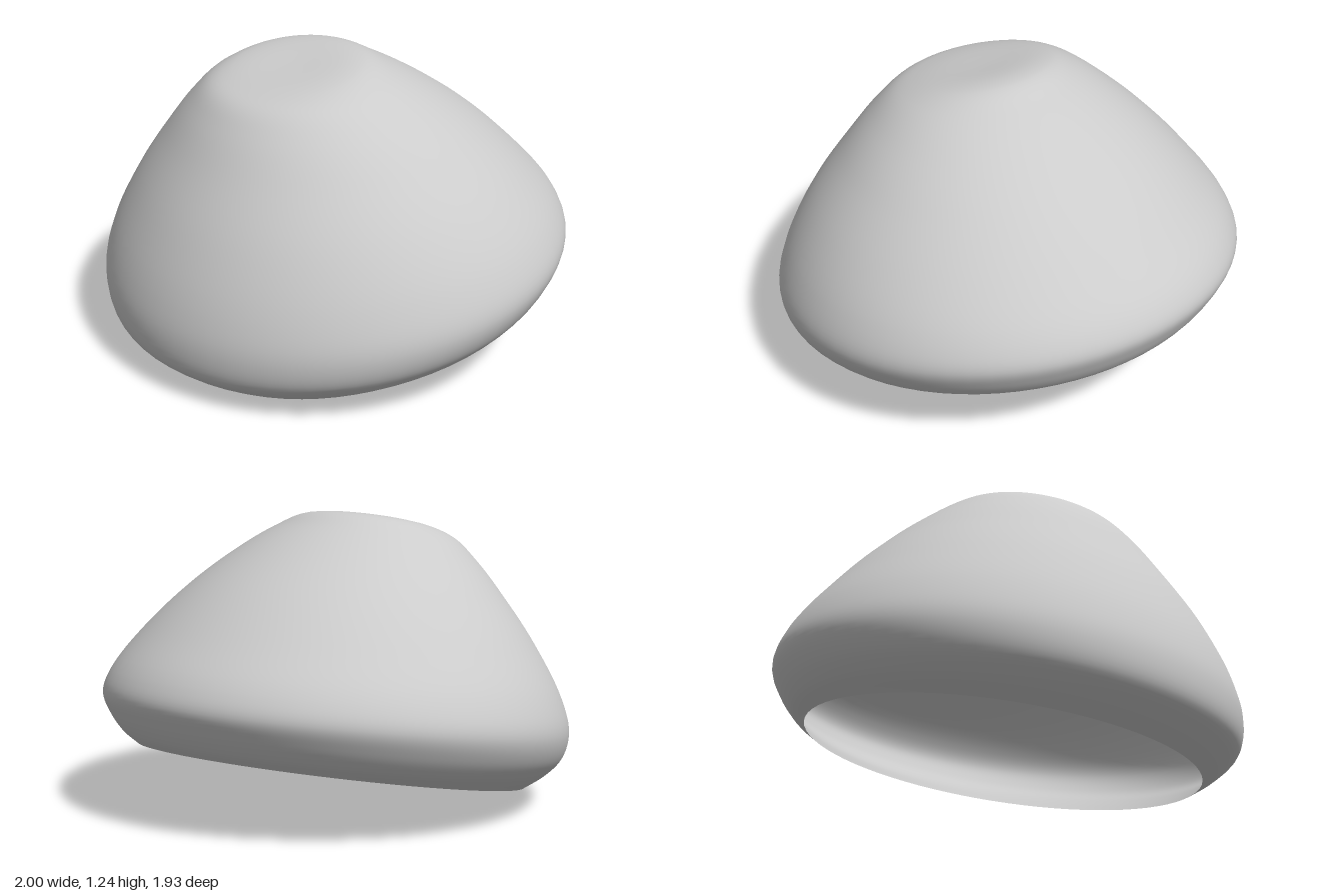
import * as THREE from 'three';

const SIDES = 72;
const STEPS = 6;
const WALL = 0.03;

// Each ring: front z, front y, back z, back y, half width in x, x centre (rim to crown)
const OUTER = [
  [0.79, 0.0, -0.845, 0.315, 0.82, 0],
  [0.88, 0.06, -0.89, 0.36, 0.9, 0],
  [0.95, 0.13, -0.938, 0.44, 0.965, 0],
  [0.965, 0.25, -0.963, 0.52, 0.998, 0],
  [0.93, 0.41, -0.925, 0.61, 0.965, 0],
  [0.83, 0.64, -0.79, 0.755, 0.85, 0],
  [0.7, 0.86, -0.59, 0.935, 0.68, -0.01],
  [0.6, 1.01, -0.38, 1.08, 0.525, -0.02],
  [0.52, 1.095, -0.2, 1.18, 0.4, -0.03],
  [0.42, 1.135, -0.07, 1.235, 0.28, -0.04],
  [0.2, 1.185, 0.2, 1.185, 0, -0.04],
];

// Inner rings share the rim and follow the outer ones at a thin wall's distance
const INNER = OUTER.map(([zf, yf, zb, yb, rx, xc], i) => {
  const inset = i === 0 ? 0 : Math.min(WALL, rx);
  const drop = (WALL * i) / (OUTER.length - 1);
  return [zf - inset, yf - drop, zb + inset, yb - drop, rx - inset, xc];
});

// Smoothly blend the key rings and skin them with quads
function skinRings(rings, flip) {
  const curve = (a, b, c) =>
    new THREE.CatmullRomCurve3(rings.map((r) => new THREE.Vector3(r[a], r[b], r[c])));
  const frontCurve = curve(0, 1, 4);
  const backCurve = curve(2, 3, 5);
  const rows = (rings.length - 1) * STEPS;
  const positions = [];
  const index = [];
  for (let i = 0; i <= rows; i++) {
    const f = frontCurve.getPoint(i / rows); // front z, front y, half width
    const b = backCurve.getPoint(i / rows); // back z, back y, x centre
    for (let j = 0; j < SIDES; j++) {
      const angle = (j / SIDES) * Math.PI * 2;
      const t = (1 + Math.cos(angle)) / 2;
      positions.push(b.z + f.z * Math.sin(angle), b.y + (f.y - b.y) * t, b.x + (f.x - b.x) * t);
      if (i === rows) continue;
      const k = (j + 1) % SIDES;
      const [p, q, r, s] = [i * SIDES + j, i * SIDES + k, (i + 1) * SIDES + k, (i + 1) * SIDES + j];
      if (flip) index.push(p, r, q, p, s, r);
      else index.push(p, q, r, p, r, s);
    }
  }
  const geometry = new THREE.BufferGeometry();
  geometry.setAttribute('position', new THREE.Float32BufferAttribute(positions, 3));
  geometry.setIndex(index);
  geometry.computeVertexNormals();
  return geometry;
}

export function createModel() {
  const group = new THREE.Group();
  group.name = 'tiltedDome';
  const material = new THREE.MeshStandardMaterial({ color: 0xcccccc });

  // Outer skin with rolled-under rim and flattened crown
  const outer = new THREE.Mesh(skinRings(OUTER, false), material);
  outer.name = 'outerDome';

  // Hollow inside, open at the bottom
  const inner = new THREE.Mesh(skinRings(INNER, true), material);
  inner.name = 'innerHollow';

  group.add(outer, inner);
  return group;
}
